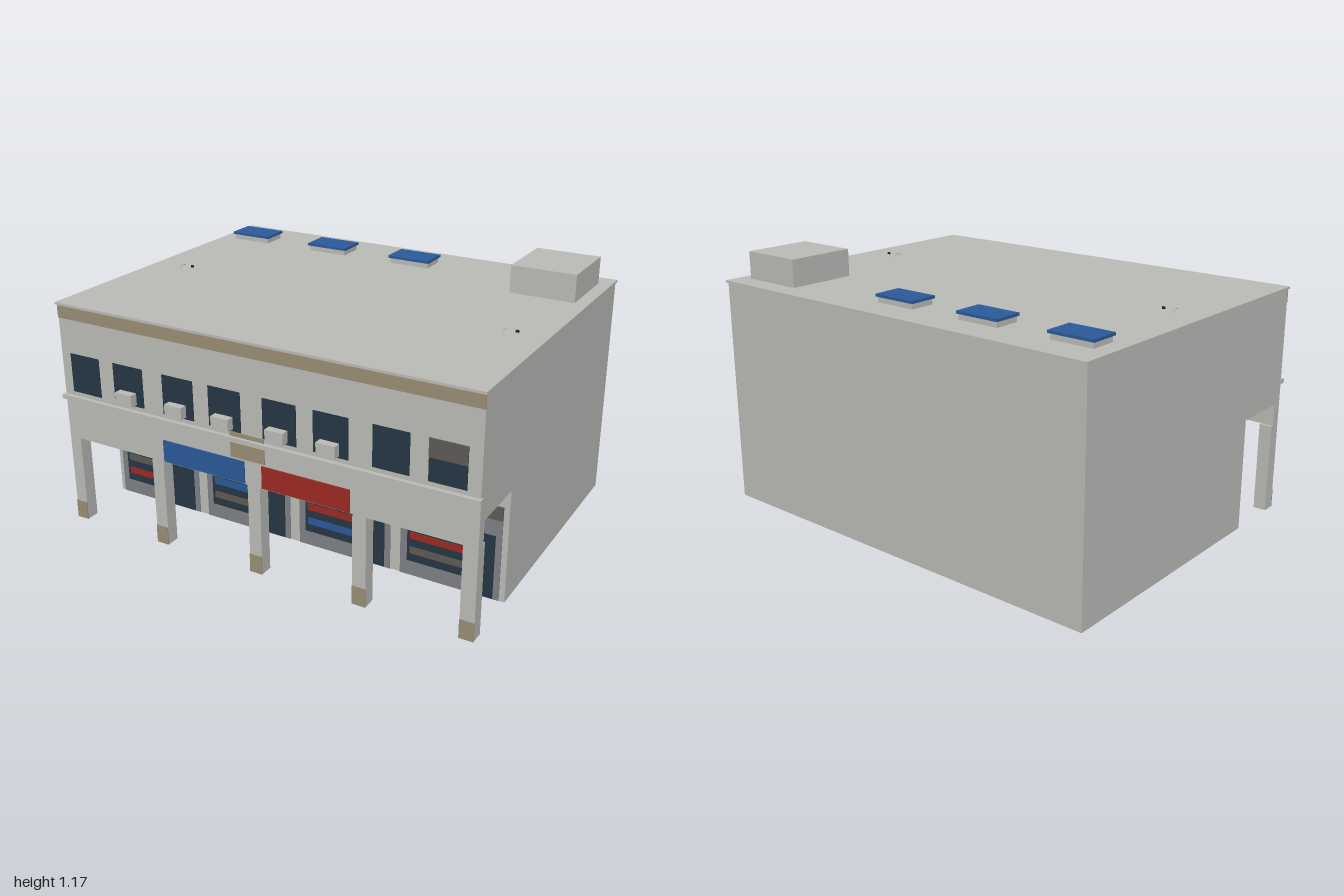
import * as THREE from 'three';

const mat = (name, color) => {
  const m = new THREE.MeshStandardMaterial({ color });
  m.name = name;
  return m;
};

export function createModel() {
  const wall = mat('pale grey render', 0xbbbbb8);
  const glass = mat('dark glass', 0x253744);
  const tan = mat('tan stone', 0x9b8d75);
  const shutter = mat('shutter brown grey', 0x5e5a54);
  const shopGrey = mat('shopfront grey', 0x7f8084);
  const blue = mat('blue', 0x2b5a9a);
  const red = mat('red', 0x9c2b22);
  const black = mat('antenna black', 0x222222);

  const model = new THREE.Group();
  model.name = 'shopHouse';

  // Box given by its extents on each axis
  const box = (name, m, x0, x1, y0, y1, z0, z1, parent = model) => {
    const mesh = new THREE.Mesh(new THREE.BoxGeometry(x1 - x0, y1 - y0, z1 - z0), m);
    mesh.position.set((x0 + x1) / 2, (y0 + y1) / 2, (z0 + z1) / 2);
    mesh.name = name;
    parent.add(mesh);
    return mesh;
  };
  const group = (name) => {
    const g = new THREE.Group();
    g.name = name;
    model.add(g);
    return g;
  };

  const BACK = -0.76, SHOP = 0.42, FRONT = 0.73, W = 0.995;

  // Main body: side profile with the arcade cut out, extruded across the width
  const profile = new THREE.Shape();
  [[BACK, 0], [SHOP, 0], [SHOP, 0.51], [0.685, 0.51], [0.685, 0.41], [FRONT, 0.41], [FRONT, 1.035], [BACK, 1.035]]
    .forEach(([z, y], i) => (i ? profile.lineTo(-z, y) : profile.moveTo(-z, y)));
  const bodyGeo = new THREE.ExtrudeGeometry(profile, { depth: 2 * W, bevelEnabled: false });
  bodyGeo.translate(0, 0, -W);
  bodyGeo.rotateY(Math.PI / 2);
  const body = new THREE.Mesh(bodyGeo, wall);
  body.name = 'building';
  model.add(body);

  box('roofSlab', wall, -1, 1, 1.035, 1.045, -0.77, 0.74);
  box('corniceBand', tan, -W, W, 0.975, 1.03, FRONT, FRONT + 0.004);
  box('ledge', wall, -1, 1, 0.6, 0.62, FRONT - 0.01, 0.75);
  box('centrePlaque', tan, -0.11, 0.055, 0.525, 0.638, FRONT, FRONT + 0.005);
  box('blueSign', blue, -0.46, -0.045, 0.415, 0.515, FRONT, FRONT + 0.006);
  box('redSign', red, 0.04, 0.45, 0.415, 0.515, FRONT, FRONT + 0.006);

  // Arcade pillars with tan base plates
  const arcade = group('arcade');
  [[-W, -0.937], [-0.53, -0.47], [-0.034, 0.026], [0.46, 0.522], [0.932, W]].forEach(([a, b]) => {
    box('pillar', wall, a, b, 0, 0.41, 0.67, FRONT, arcade);
    box('pillarBase', tan, a, b, 0, 0.085, FRONT, FRONT + 0.004, arcade);
  });

  // Upper windows, the last with a half-closed shutter
  const windows = group('upperWindows');
  [-0.945, -0.71, -0.448, -0.213, 0.05, 0.285, 0.547, 0.782].forEach((x, i) => {
    box('window', glass, x, x + 0.157, 0.64, 0.818, FRONT, FRONT + 0.003, windows);
    if (i === 7) box('windowShutter', shutter, x, x + 0.157, 0.74, 0.818, FRONT, FRONT + 0.006, windows);
  });

  // Air conditioners
  [-0.677, -0.415, -0.18, 0.082, 0.317].forEach((x) =>
    box('airConditioner', wall, x, x + 0.086, 0.65, 0.703, FRONT, 0.768));

  // Shopfronts at the back of the arcade
  const stripes = [
    [wall, shutter, red], [red, blue, shutter], [red, red, blue], [red, red, shutter],
  ];
  stripes.forEach((colours, i) => {
    const g = group('shopfront' + (i + 1));
    const x = -0.941 + i * 0.498;
    box('shopPanel', shopGrey, x - 0.033, x + 0.417, 0, 0.42, SHOP, SHOP + 0.003, g);
    box('shutterBox', shutter, x - 0.033, x + 0.417, 0.37, 0.43, SHOP, SHOP + 0.008, g);
    box('shopWindow', glass, x, x + 0.28, 0.07, 0.35, SHOP, SHOP + 0.006, g);
    box('shopDoor', glass, x + 0.264, x + 0.39, 0.004, 0.295, SHOP, SHOP + 0.008, g);
    colours.forEach((c, k) =>
      box('goodsStripe', c, x + 0.014, x + 0.264, 0.248 - k * 0.07, 0.28 - k * 0.07, SHOP, SHOP + 0.009, g));
  });

  // Skylights and stair housing
  [-0.93, -0.482, -0.034].forEach((x) => {
    box('skylightCurb', wall, x + 0.007, x + 0.203, 1.045, 1.07, -0.624, -0.506);
    box('skylightPane', blue, x, x + 0.21, 1.07, 1.082, -0.632, -0.498);
  });
  box('stairHousing', wall, 0.643, 0.941, 1.045, 1.17, -0.675, -0.352);

  // Dish rims peeping above the roof, with their receivers
  [[-0.86, 0.04, 0.2], [0.805, 0.13, 0.2]].forEach(([x, z, turn]) => {
    const g = group('satelliteDish');
    const rim = new THREE.Mesh(new THREE.TorusGeometry(0.05, 0.002, 5, 16, Math.PI * 0.55), wall);
    rim.rotation.set(-0.1, Math.PI / 2 + turn, 0);
    rim.rotation.z = Math.PI * 0.225;
    rim.position.set(0.01, -0.04, 0);
    rim.name = 'dishRim';
    g.add(rim);
    box('receiver', black, 0.055, 0.068, 0.002, 0.011, -0.014, -0.006, g);
    g.position.set(x, 1.045, z);
  });

  return model;
}
